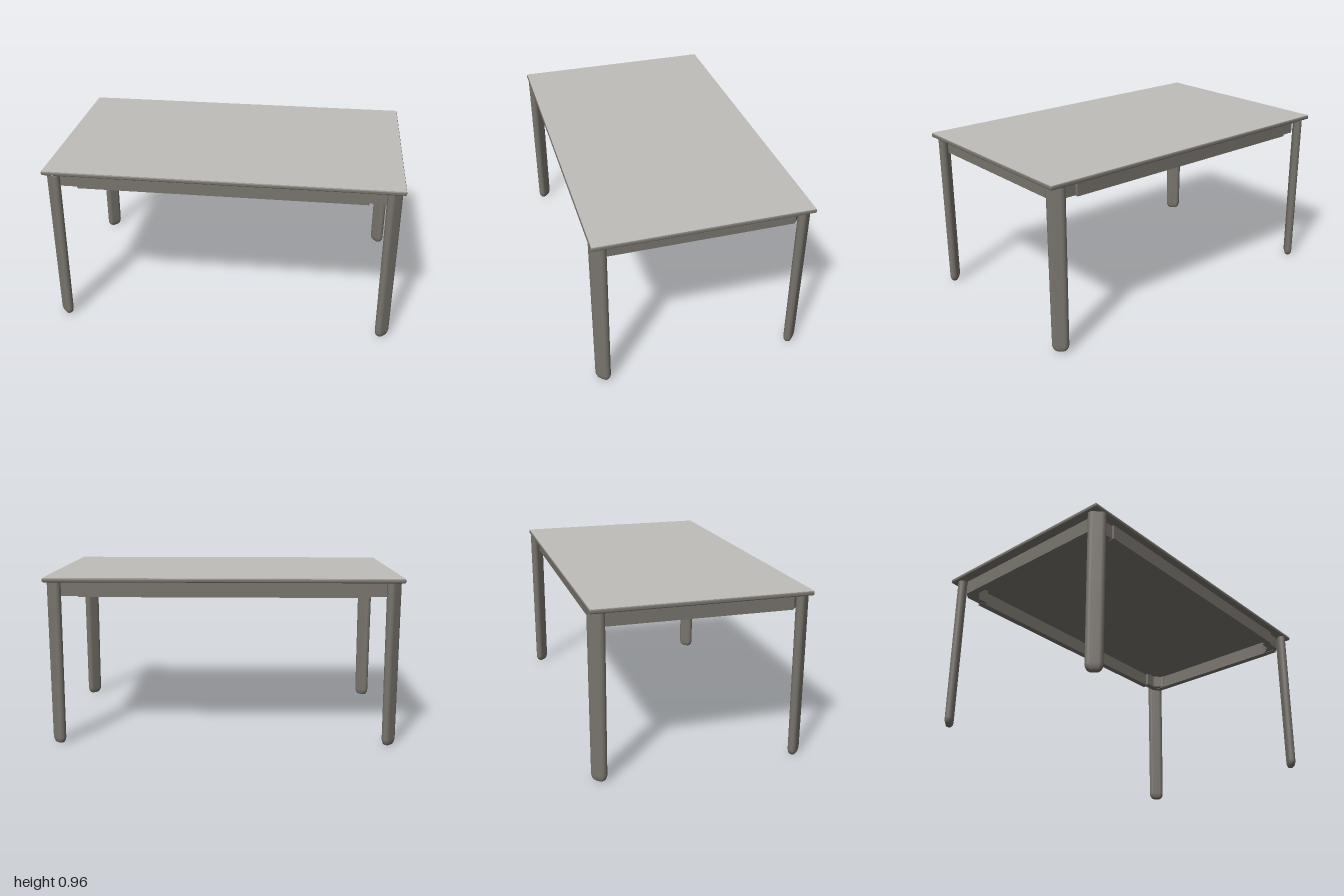
import * as THREE from 'three';
import { RoundedBoxGeometry } from 'three/addons/geometries/RoundedBoxGeometry.js';

const TOP_Y = 0.931; // underside of the tabletop
const APRON_Y = 0.845; // lower edge of the aprons

// Tapered flat leg: a stadium section lofted upwards from a rounded foot.
function legGeometry() {
  const halfLength = 0.05, halfThick = 0.0245, arc = 10;
  const section = [];
  for (const side of [1, -1]) {
    for (let i = 0; i <= arc; i++) {
      const a = -Math.PI / 2 + (Math.PI * i) / arc;
      section.push([
        side * (halfLength - halfThick + halfThick * Math.cos(a)),
        side * halfThick * Math.sin(a),
      ]);
    }
  }
  // rings: height, length scale, thickness scale
  const rings = [[0, 0, 0]];
  for (let i = 0; i <= 6; i++) {
    const a = (Math.PI / 2) * (i / 6);
    rings.push([0.04 * (1 - Math.cos(a)), 0.4 + 0.53 * Math.sin(a), 0.45 + 0.48 * Math.sin(a)]);
  }
  rings.push([0.5, 0.97, 0.97], [TOP_Y, 1, 1]);

  const n = section.length, positions = [], index = [];
  for (const [y, sx, sz] of rings) for (const [x, z] of section) positions.push(x * sx, y, z * sz);
  for (let r = 0; r < rings.length - 1; r++) {
    for (let i = 0; i < n; i++) {
      const a = r * n + i, b = r * n + ((i + 1) % n);
      index.push(a, a + n, b, b, a + n, b + n);
    }
  }
  const g = new THREE.BufferGeometry();
  g.setAttribute('position', new THREE.Float32BufferAttribute(positions, 3));
  g.setIndex(index);
  g.computeVertexNormals();
  return g;
}

// Corner block joining leg and aprons, drawn in plan for one corner.
function cornerGeometry(sx, sz) {
  const plan = [
    [0.79, 0.545], [0.905, 0.545], [0.94, 0.515], [0.94, 0.44],
    [0.9, 0.44], [0.895, 0.46], [0.855, 0.5], [0.79, 0.5],
  ];
  const shape = new THREE.Shape(plan.map(([x, z]) => new THREE.Vector2(sx * x, -sz * z)));
  const g = new THREE.ExtrudeGeometry(shape, { depth: TOP_Y - APRON_Y - 0.003, bevelEnabled: false });
  g.rotateX(-Math.PI / 2);
  g.translate(0, APRON_Y + 0.003, 0);
  return g;
}

export function createModel() {
  const model = new THREE.Group();
  model.name = 'table';
  const topGrey = new THREE.MeshStandardMaterial({ color: 0xbfbdba });
  topGrey.name = 'light grey surface';
  const frameGrey = new THREE.MeshStandardMaterial({ color: 0x78736c });
  frameGrey.name = 'warm grey frame';

  const add = (name, geometry, material, x = 0, y = 0, z = 0) => {
    const mesh = new THREE.Mesh(geometry, material);
    mesh.name = name;
    mesh.position.set(x, y, z);
    model.add(mesh);
    return mesh;
  };

  // Tabletop: soft-edged slab with a thin light surface
  add('tabletop', new RoundedBoxGeometry(2, 0.023, 1.2, 3, 0.008), frameGrey, 0, TOP_Y + 0.0115, 0);
  add('tabletopSurface', new THREE.BoxGeometry(1.993, 0.003, 1.193), topGrey, 0, 0.9545, 0);

  // Aprons
  const h = TOP_Y - APRON_Y, midY = (TOP_Y + APRON_Y) / 2;
  for (const s of [1, -1]) {
    add('longApron', new THREE.BoxGeometry(1.62, h, 0.04), frameGrey, 0, midY, s * 0.54);
    add('shortApron', new THREE.BoxGeometry(0.04, h, 1.02), frameGrey, s * 0.925, midY, 0);
  }

  // Legs turned to face the corners, with their joining blocks
  const leg = legGeometry();
  for (const sx of [1, -1]) {
    for (const sz of [1, -1]) {
      add('leg', leg, frameGrey, sx * 0.943, 0, sz * 0.557).rotation.y = (sx * sz * Math.PI) / 4;
      add('cornerBlock', cornerGeometry(sx, sz), frameGrey);
    }
  }
  return model;
}
